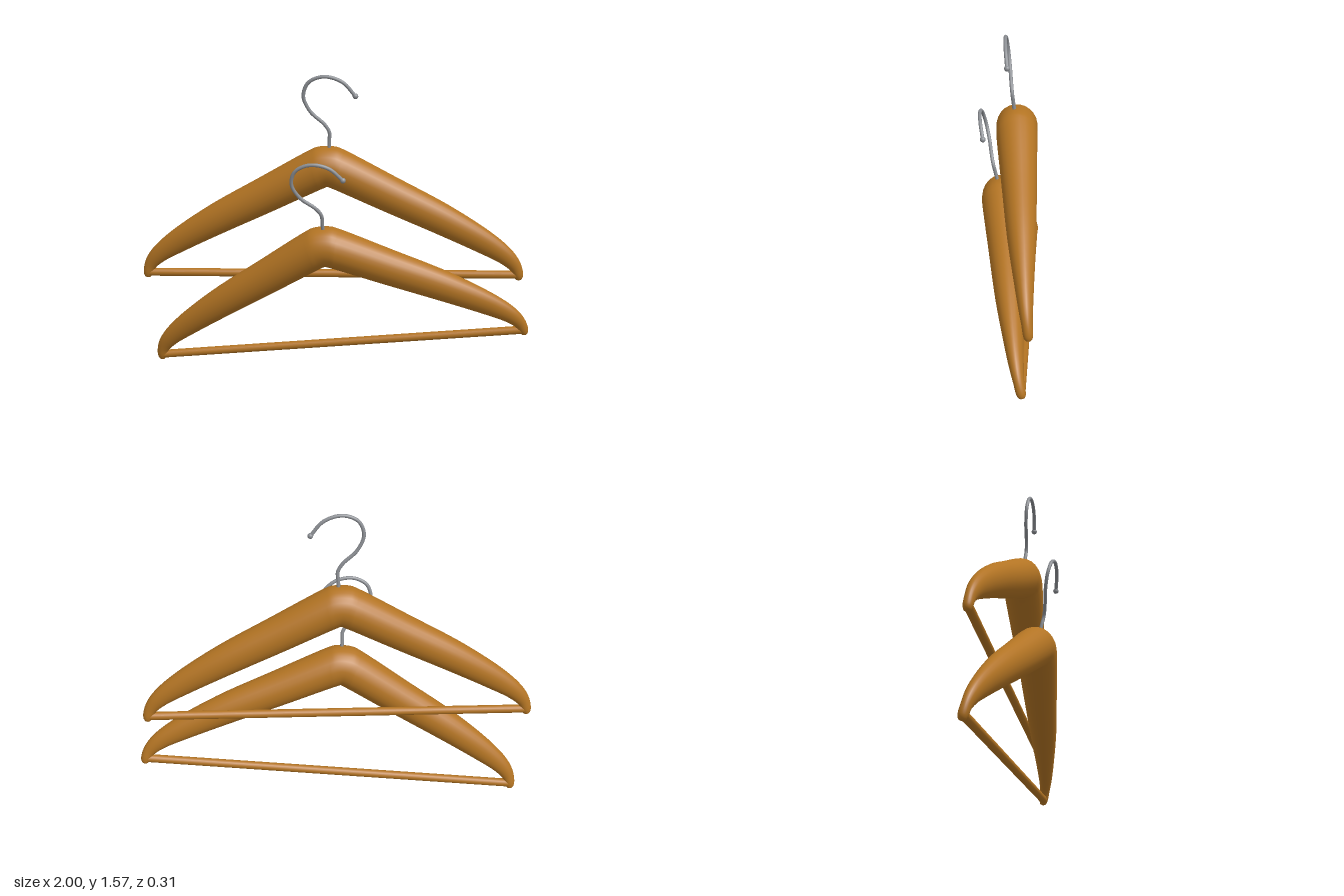
import * as THREE from 'three';

const wood = new THREE.MeshStandardMaterial({ color: 0xb37423 });
wood.name = 'wood';
const metal = new THREE.MeshStandardMaterial({ color: 0x8c8f94 });
metal.name = 'metal';

// Right half of the shoulder: [top x, top y, bottom x, bottom y, half depth]
const SECTIONS = [
  [0.05, 0.685, 0.012, 0.48, 0.1],
  [0.085, 0.67, 0.035, 0.47, 0.1],
  [0.34, 0.527, 0.28, 0.352, 0.085],
  [0.62, 0.367, 0.565, 0.218, 0.067],
  [0.84, 0.213, 0.755, 0.124, 0.045],
  [0.93, 0.125, 0.86, 0.068, 0.033],
  [0.968, 0.06, 0.915, 0.025, 0.025],
  [0.981, 0.0, 0.935, -0.01, 0.022],
  [0.975, -0.022, 0.945, -0.026, 0.015],
  [0.961, -0.03, 0.959, -0.03, 0.001],
];

// Loft of elliptical rings from one tip over the apex to the other
function shoulderGeometry(rings = 120, sides = 24) {
  const mirrored = SECTIONS.map(([a, b, c, d, w]) => [-a, b, -c, d, w]).reverse();
  const all = [...mirrored, [0, 0.69, 0, 0.485, 0.1], ...SECTIONS];
  // the half depth rides along as the z of the top curve
  const top = new THREE.CatmullRomCurve3(all.map((s) => new THREE.Vector3(s[0], s[1], s[4])));
  const bottom = new THREE.CatmullRomCurve3(all.map((s) => new THREE.Vector3(s[2], s[3], 0)));
  const positions = [];
  const index = [];
  for (let i = 0; i <= rings; i++) {
    const t = top.getPoint(i / rings);
    const b = bottom.getPoint(i / rings);
    for (let j = 0; j < sides; j++) {
      const a = (j / sides) * Math.PI * 2;
      const k = Math.cos(a) / 2;
      positions.push(
        (t.x + b.x) / 2 + (t.x - b.x) * k,
        (t.y + b.y) / 2 + (t.y - b.y) * k,
        t.z * Math.sin(a),
      );
      if (i < rings) {
        const p = i * sides + j;
        const q = i * sides + ((j + 1) % sides);
        index.push(p, q, p + sides, q, q + sides, p + sides);
      }
    }
  }
  const geometry = new THREE.BufferGeometry();
  geometry.setAttribute('position', new THREE.Float32BufferAttribute(positions, 3));
  geometry.setIndex(index);
  geometry.computeVertexNormals();
  return geometry;
}

// Wire hook: short stem, S-bend and open loop
const HOOK = [
  [0.012, 0.66], [0.014, 0.72], [0.017, 0.765], [-0.006, 0.807], [-0.073, 0.873],
  [-0.104, 0.95], [-0.08, 1.016], [-0.032, 1.043], [0.022, 1.046], [0.092, 1.017], [0.149, 0.949],
];

function part(name, geometry, material) {
  const mesh = new THREE.Mesh(geometry, material);
  mesh.name = name;
  return mesh;
}

function createHanger(name) {
  const hanger = new THREE.Group();
  hanger.name = name;

  hanger.add(part('shoulder', shoulderGeometry(), wood));

  const bar = part('trouserBar', new THREE.CylinderGeometry(0.021, 0.021, 1.91, 20), wood);
  bar.rotation.z = Math.PI / 2;
  hanger.add(bar);

  const path = new THREE.CatmullRomCurve3(HOOK.map(([x, y]) => new THREE.Vector3(x, y, 0)));
  hanger.add(part('hook', new THREE.TubeGeometry(path, 80, 0.009, 12), metal));

  const tip = part('hookTip', new THREE.SphereGeometry(0.014, 16, 12), metal);
  tip.position.set(0.149, 0.949, 0);
  hanger.add(tip);
  return hanger;
}

export function createModel() {
  const model = new THREE.Group();
  model.name = 'coatHangers';

  const back = createHanger('backHanger');
  back.position.set(-0.022, 0.52, -0.11);
  back.rotation.set(0.12, 0, 0.021);

  const front = createHanger('frontHanger');
  front.position.set(0.022, 0.142, -0.105);
  front.rotation.set(0.24, 0, 0.12);

  model.add(back, front);
  return model;
}
